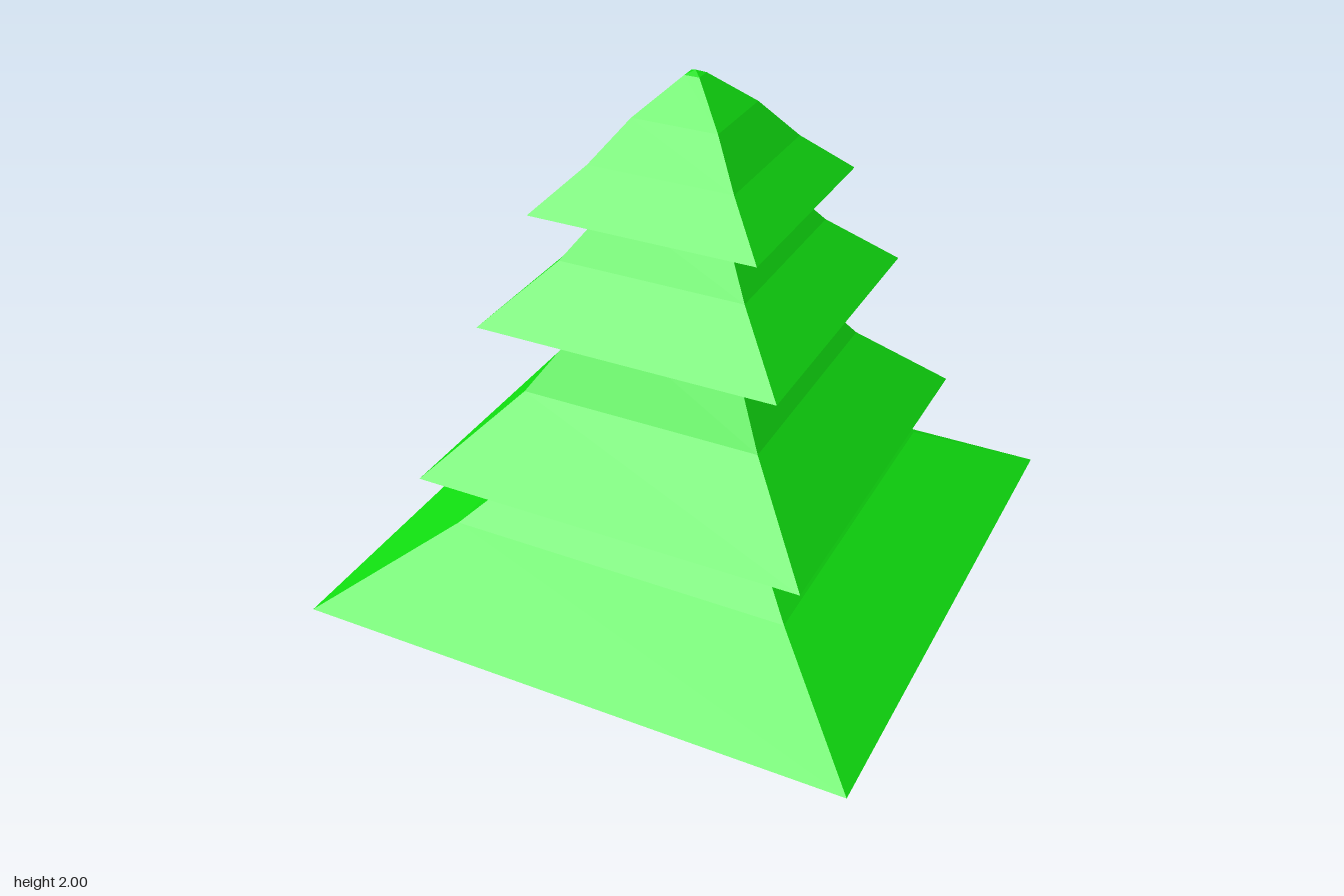
import * as THREE from 'three';

// Half-width and height of each foliage tier, bottom to top
const TIERS = [
  ['bottomFoliage', [[0.765, 0.625], [0.475, 0.815], [0.295, 0.98]]],
  ['lowerFoliage', [[0.538, 0.98], [0.33, 1.19], [0.195, 1.39]]],
  ['upperFoliage', [[0.408, 1.4], [0.253, 1.55], [0.155, 1.685]]],
  ['topFoliage', [[0.305, 1.685], [0.195, 1.795], [0.115, 1.9], [0.02, 1.99], [0, 2]]],
];

// Closed square-section solid: a four-sided lathe with its corners on the diagonals
function squareTier(profile) {
  const points = profile.map(([half, y]) => new THREE.Vector2(half * Math.SQRT2, y));
  points.unshift(new THREE.Vector2(0, profile[0][1]));
  const [topHalf, topY] = profile[profile.length - 1];
  if (topHalf > 0) points.push(new THREE.Vector2(0, topY));
  return new THREE.LatheGeometry(points, 4, Math.PI / 4);
}

export function createModel() {
  const tree = new THREE.Group();
  tree.name = 'pineTree';

  const leaf = new THREE.MeshStandardMaterial({ color: 0x10e010, flatShading: true });
  const bark = new THREE.MeshStandardMaterial({ color: 0x480c0e, flatShading: true });

  // Stacked skirts of foliage
  for (const [name, profile] of TIERS) {
    const tier = new THREE.Mesh(squareTier(profile), leaf);
    tier.name = name;
    tree.add(tier);
  }

  // Square trunk, set off to one side
  const trunk = new THREE.Mesh(new THREE.BoxGeometry(0.235, 0.63, 0.235), bark);
  trunk.name = 'trunk';
  trunk.position.set(-0.11, 0.315, 0);
  tree.add(trunk);

  return tree;
}
